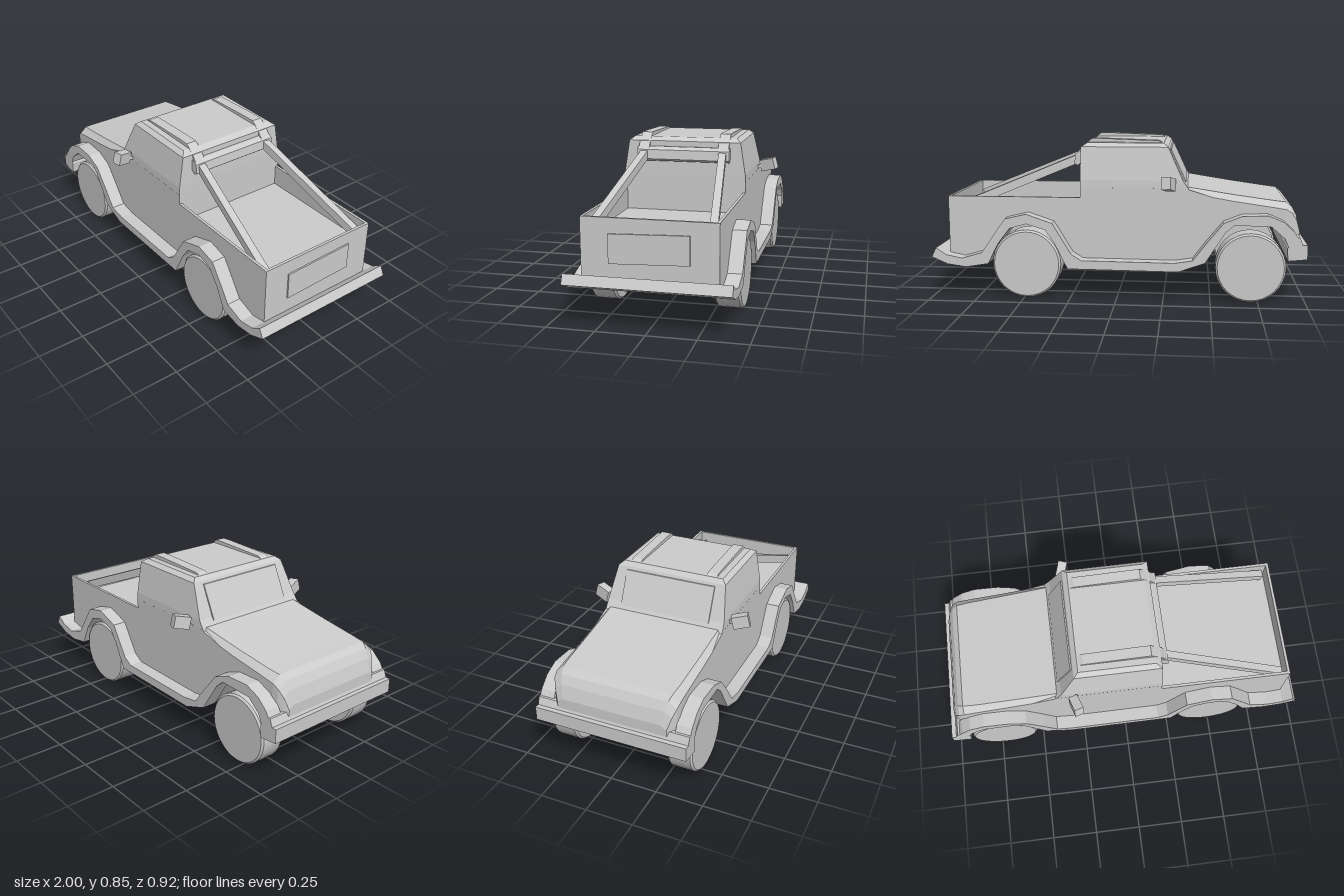
import * as THREE from 'three';
import { toCreasedNormals } from 'three/addons/utils/BufferGeometryUtils.js';

const material = new THREE.MeshStandardMaterial({ color: 0xcccccc, flatShading: true });
const smooth = new THREE.MeshStandardMaterial({ color: 0xcccccc });

function add(parent, name, geometry, mat = material) {
  const mesh = new THREE.Mesh(geometry, mat);
  mesh.name = name;
  parent.add(mesh);
  return mesh;
}

// Side profile in x and y, extruded from z0 to z1
function slab(points, z0, z1) {
  const shape = new THREE.Shape(points.map(([x, y]) => new THREE.Vector2(x, y)));
  const geo = new THREE.ExtrudeGeometry(shape, { depth: z1 - z0, bevelEnabled: false });
  return geo.translate(0, 0, z0);
}

function box(x0, x1, y0, y1, z0, z1) {
  return new THREE.BoxGeometry(x1 - x0, y1 - y0, z1 - z0)
    .translate((x0 + x1) / 2, (y0 + y1) / 2, (z0 + z1) / 2);
}

// Skin over rings of equal length, closed by a fan at both ends.
// Rings run counter-clockwise when seen from the last ring.
function loft(rings) {
  const n = rings[0].length, index = [];
  for (let r = 0; r < rings.length - 1; r++) {
    for (let i = 0; i < n; i++) {
      const a = r * n + i, b = r * n + (i + 1) % n;
      index.push(a, b, b + n, a, b + n, a + n);
    }
  }
  const last = (rings.length - 1) * n;
  for (let i = 1; i < n - 1; i++) {
    index.push(0, i + 1, i, last, last + i, last + i + 1);
  }
  const geo = new THREE.BufferGeometry();
  geo.setAttribute('position', new THREE.Float32BufferAttribute(rings.flat(2), 3));
  geo.setIndex(index);
  const flat = geo.toNonIndexed();
  flat.computeVertexNormals();
  return flat;
}

// Square bar between two points
function bar(from, to, width, height) {
  const a = new THREE.Vector3(...from), b = new THREE.Vector3(...to);
  const geo = new THREE.BoxGeometry(width, height, a.distanceTo(b));
  const look = new THREE.Object3D();
  look.position.copy(a).add(b).multiplyScalar(0.5);
  look.lookAt(b);
  look.updateMatrix();
  return geo.applyMatrix4(look.matrix);
}

export function createModel() {
  const truck = new THREE.Group();
  truck.name = 'pickupTruck';

  // Lower body: arched flanks either side of a flat-bottomed centre
  const nose = [[-0.62, 0.42], [-0.55, 0.365], [-0.45, 0.215], [-0.4, 0.17]];
  const rearArch = [[0.26, 0.17], [0.33, 0.31], [0.38, 0.38], [0.48, 0.41],
    [0.57, 0.385], [0.635, 0.3], [0.69, 0.19]];
  const upper = [[0.92, 0.19], [0.92, 0.43], [0.2, 0.43], [0.2, 0.6], [-0.36, 0.6], [-0.62, 0.52]];
  for (const [z0, z1] of [[0.24, 0.34], [-0.34, -0.24]]) {
    add(truck, 'bodyFlank', slab([...nose, ...rearArch, [0.81, 0.172], ...upper], z0, z1));
  }
  add(truck, 'bodyCentre', slab([...nose, [0.81, 0.17], ...upper], -0.24, 0.24));

  // Hood: x, bottom, shoulder height, top, side half-width, top half-width
  const hood = [
    [-0.97, 0.32, 0.37, 0.39, 0.3, 0.27],
    [-0.95, 0.32, 0.435, 0.46, 0.32, 0.28],
    [-0.925, 0.34, 0.475, 0.505, 0.335, 0.29],
    [-0.895, 0.37, 0.495, 0.53, 0.34, 0.3],
    [-0.83, 0.42, 0.505, 0.538, 0.34, 0.305],
    [-0.62, 0.42, 0.535, 0.567, 0.34, 0.31],
    [-0.36, 0.42, 0.58, 0.608, 0.34, 0.315],
    [-0.3, 0.42, 0.59, 0.615, 0.335, 0.31],
  ];
  add(truck, 'hood', loft(hood.map(([x, b, s, t, w, v]) => [
    [x, b, -w], [x, s, -w], [x, t, -v], [x, t, v], [x, s, w], [x, b, w],
  ])));

  // Cab: height, front, back, half-width
  const cab = [
    [0.59, -0.385, 0.2, 0.34],
    [0.64, -0.35, 0.2, 0.338],
    [0.815, -0.27, 0.197, 0.31],
    [0.835, -0.245, 0.165, 0.285],
  ];
  add(truck, 'cab', loft(cab.map(([y, x0, x1, w]) => [
    [x0, y, w], [x1, y, w], [x1, y, -w], [x0, y, -w],
  ])));
  add(truck, 'windshield', loft([[0.625, -0.366], [0.8, -0.284]].map(([y, x]) => [
    [x, y, 0.255], [x + 0.02, y, 0.255], [x + 0.02, y, -0.255], [x, y, -0.255],
  ])));

  // Cargo bed walls and tailgate
  for (const s of [-1, 1]) {
    add(truck, 'bedWall', box(0.2, 0.92, 0.42, 0.545, s > 0 ? 0.325 : -0.34, s > 0 ? 0.34 : -0.325));
  }
  add(truck, 'tailgate', box(0.905, 0.92, 0.42, 0.545, -0.325, 0.325));
  add(truck, 'tailgatePanel', loft([0.918, 0.928].map((x) => [
    [x, 0.32, 0.2], [x, 0.333, -0.2], [x, 0.478, -0.2], [x, 0.467, 0.2],
  ]))) ;

  // Wheel-arch flares joined by side sills
  const flareTop = [[-0.96, 0.34], [-0.93, 0.39], [-0.875, 0.44], [-0.795, 0.473], [-0.66, 0.468],
    [-0.565, 0.43], [-0.475, 0.32], [-0.405, 0.227], [-0.31, 0.212], [0.185, 0.216], [0.24, 0.25],
    [0.34, 0.415], [0.48, 0.463], [0.595, 0.436], [0.66, 0.345], [0.725, 0.25], [0.835, 0.217], [0.92, 0.227]];
  const flareBottom = [[-0.91, 0.29], [-0.88, 0.355], [-0.81, 0.415], [-0.62, 0.42], [-0.575, 0.38],
    [-0.47, 0.215], [-0.33, 0.165], ...rearArch, [0.81, 0.17], [0.92, 0.185]];
  const flare = [...flareBottom, ...flareTop.reverse()];
  add(truck, 'leftFlare', slab(flare, 0.335, 0.415));
  add(truck, 'rightFlare', slab(flare, -0.415, -0.335));

  // Full-width bumpers
  add(truck, 'frontBumper', slab([[-1, 0.245], [-0.9, 0.235], [-0.895, 0.3], [-0.93, 0.36],
    [-0.96, 0.36], [-0.975, 0.32], [-1, 0.32]], -0.415, 0.415));
  add(truck, 'rearBumper', slab([[0.8, 0.172], [0.92, 0.187], [1, 0.222], [0.976, 0.272],
    [0.92, 0.235], [0.83, 0.217]], -0.415, 0.415));

  // Wheels with slightly rounded tread edges
  const tread = [[0, -0.068], [0.175, -0.068], [0.185, -0.058], [0.185, 0.058], [0.175, 0.068], [0, 0.068]]
    .map(([r, h]) => new THREE.Vector2(r, h));
  const wheelGeo = toCreasedNormals(new THREE.LatheGeometry(tread, 32).rotateX(Math.PI / 2), 0.5);
  for (const x of [-0.71, 0.485]) {
    for (const z of [-0.328, 0.328]) {
      add(truck, x < 0 ? 'frontWheel' : 'rearWheel', wheelGeo, smooth).position.set(x, 0.188, z);
    }
  }

  // Cross bar behind the cab
  add(truck, 'crossBar', slab([[0.19, 0.785], [0.19, 0.73], [0.225, 0.708], [0.24, 0.72],
    [0.235, 0.77], [0.21, 0.785]], -0.255, 0.255));

  const rail = [[-0.27, 0.8], [0.18, 0.8], [0.205, 0.75], [0.235, 0.765], [0.195, 0.815],
    [0.145, 0.855], [0.08, 0.855], [-0.215, 0.845], [-0.255, 0.825]];
  for (const s of [-1, 1]) {
    // Roof rail, bed strut and mirror on each side
    add(truck, 'roofRail', slab(rail, s * 0.22 - 0.029, s * 0.22 + 0.029));
    add(truck, 'bedStrut', bar([0.22, 0.745, s * 0.215], [0.88, 0.475, s * 0.3], 0.04, 0.045));
    const mirror = new THREE.Group();
    mirror.name = 'mirror';
    add(mirror, 'mirrorHead', new THREE.BoxGeometry(0.05, 0.066, 0.088)).rotation.set(-s * 0.25, s * 0.3, 0);
    add(mirror, 'mirrorArm', bar([0.005, -0.02, -s * 0.07], [0, 0, 0], 0.018, 0.02));
    mirror.position.set(-0.275, 0.63, s * 0.402);
    truck.add(mirror);
  }
  return truck;
}
